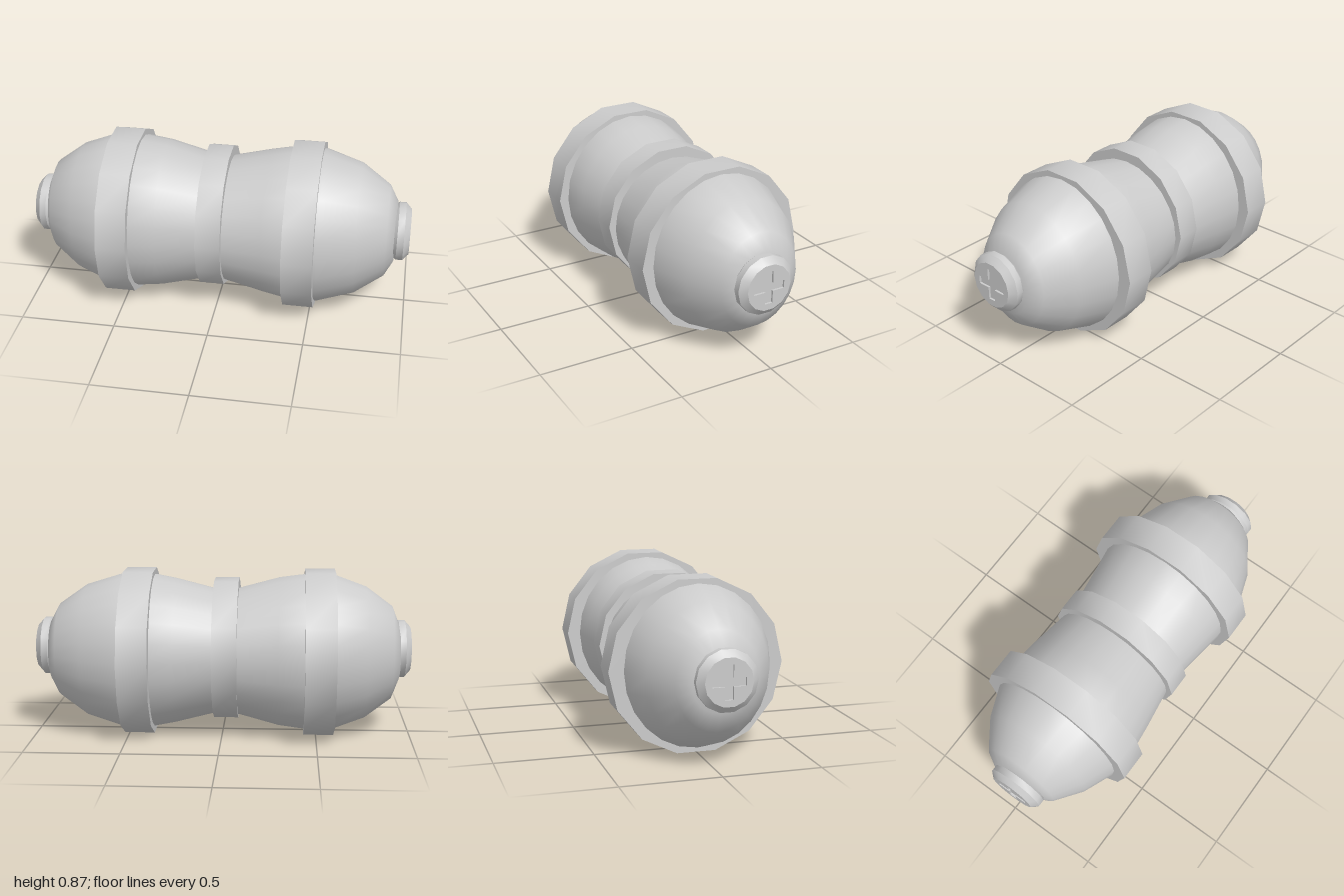
import * as THREE from 'three';
import { mergeVertices, toCreasedNormals } from 'three/addons/utils/BufferGeometryUtils.js';

const SIDES = 14;
const material = new THREE.MeshStandardMaterial({ color: 0xcccccc });

function addMesh(parent, name, geometry) {
  const mesh = new THREE.Mesh(geometry, material);
  mesh.name = name;
  parent.add(mesh);
  return mesh;
}

// Lathe of [radius, x] points around the x axis, sharp at the profile's corners
function turned(profile) {
  const geometry = new THREE.LatheGeometry(profile.map(([r, x]) => new THREE.Vector2(r, x)), SIDES);
  geometry.rotateZ(-Math.PI / 2);
  return toCreasedNormals(geometry, 0.6);
}

// Smooth body: elliptical sections [x, half height, half depth]
function bodyGeometry() {
  const sections = [
    [-0.95, 0, 0], [-0.94, 0.145, 0.14], [-0.9, 0.25, 0.21], [-0.76, 0.354, 0.31],
    [-0.6, 0.413, 0.375], [-0.45, 0.42, 0.392], [-0.3, 0.4, 0.375], [-0.09, 0.342, 0.345],
    [-0.02, 0.333, 0.338], [0.05, 0.338, 0.342], [0.25, 0.39, 0.368], [0.4, 0.42, 0.39],
    [0.54, 0.415, 0.38], [0.73, 0.356, 0.315], [0.88, 0.25, 0.215], [0.925, 0.165, 0.15], [0.94, 0, 0],
  ];
  const rows = sections.length;
  const geometry = new THREE.LatheGeometry(sections.map(([x]) => new THREE.Vector2(1, x)), 24);
  geometry.rotateZ(-Math.PI / 2);
  const p = geometry.attributes.position;
  for (let i = 0; i < p.count; i++) {
    const [x, ry, rz] = sections[i % rows];
    p.setXYZ(i, x, p.getY(i) * ry, p.getZ(i) * rz);
  }
  geometry.deleteAttribute('uv');
  geometry.deleteAttribute('normal');
  const welded = mergeVertices(geometry, 1e-5);
  welded.computeVertexNormals();
  return welded;
}

// Hollow band with flat ends
function bandGeometry(inner, outer, width) {
  const h = width / 2;
  return turned([[inner, -h], [outer, -h], [outer, h], [inner, h], [inner, -h]]);
}

// Bevelled end cap with a sunken cross; its face is at x = 0
function createCap() {
  const cap = new THREE.Group();
  addMesh(cap, 'capRim', turned([[0, -0.08], [0.142, -0.08], [0.154, -0.065], [0.154, -0.03], [0.12, 0]]));

  const face = new THREE.Shape();
  for (let i = 0; i < SIDES; i++) {
    const a = (i / SIDES) * Math.PI * 2;
    face[i ? 'lineTo' : 'moveTo'](0.12 * Math.cos(a), 0.12 * Math.sin(a));
  }
  face.closePath();

  const l = 0.084, w = 0.021;
  const cross = [
    [w, l], [w, w], [l, w], [l, -w], [w, -w], [w, -l],
    [-w, -l], [-w, -w], [-l, -w], [-l, w], [-w, w], [-w, l],
  ];
  face.holes.push(new THREE.Path(cross.map(([x, y]) => new THREE.Vector2(x, y))));

  const depth = 0.012;
  const plate = new THREE.ExtrudeGeometry(face, { depth, bevelEnabled: false });
  plate.translate(0, 0, -depth).rotateY(Math.PI / 2);
  addMesh(cap, 'capFace', plate);

  const floor = new THREE.CircleGeometry(0.11, SIDES);
  floor.translate(0, 0, -depth + 0.001).rotateY(Math.PI / 2);
  addMesh(cap, 'crossFloor', floor);
  return cap;
}

export function createModel() {
  const model = new THREE.Group();
  model.name = 'capsule';
  const centreY = 0.4365;

  addMesh(model, 'body', bodyGeometry()).position.set(0, centreY, 0.006);

  // Two wide bands and a narrow waist band
  for (const [name, x] of [['rightBand', -0.515], ['leftBand', 0.445]]) {
    addMesh(model, name, bandGeometry(0.35, 0.447, 0.16)).position.set(x, centreY, 0);
  }
  addMesh(model, 'waistBand', bandGeometry(0.3, 0.378, 0.13)).position.set(-0.02, 0.454, 0.007);

  // Mirrored end caps
  for (const side of [-1, 1]) {
    const cap = createCap();
    cap.name = side > 0 ? 'leftCap' : 'rightCap';
    cap.position.set(side, 0.452, 0.028);
    if (side < 0) cap.rotation.y = Math.PI;
    model.add(cap);
  }
  return model;
}
